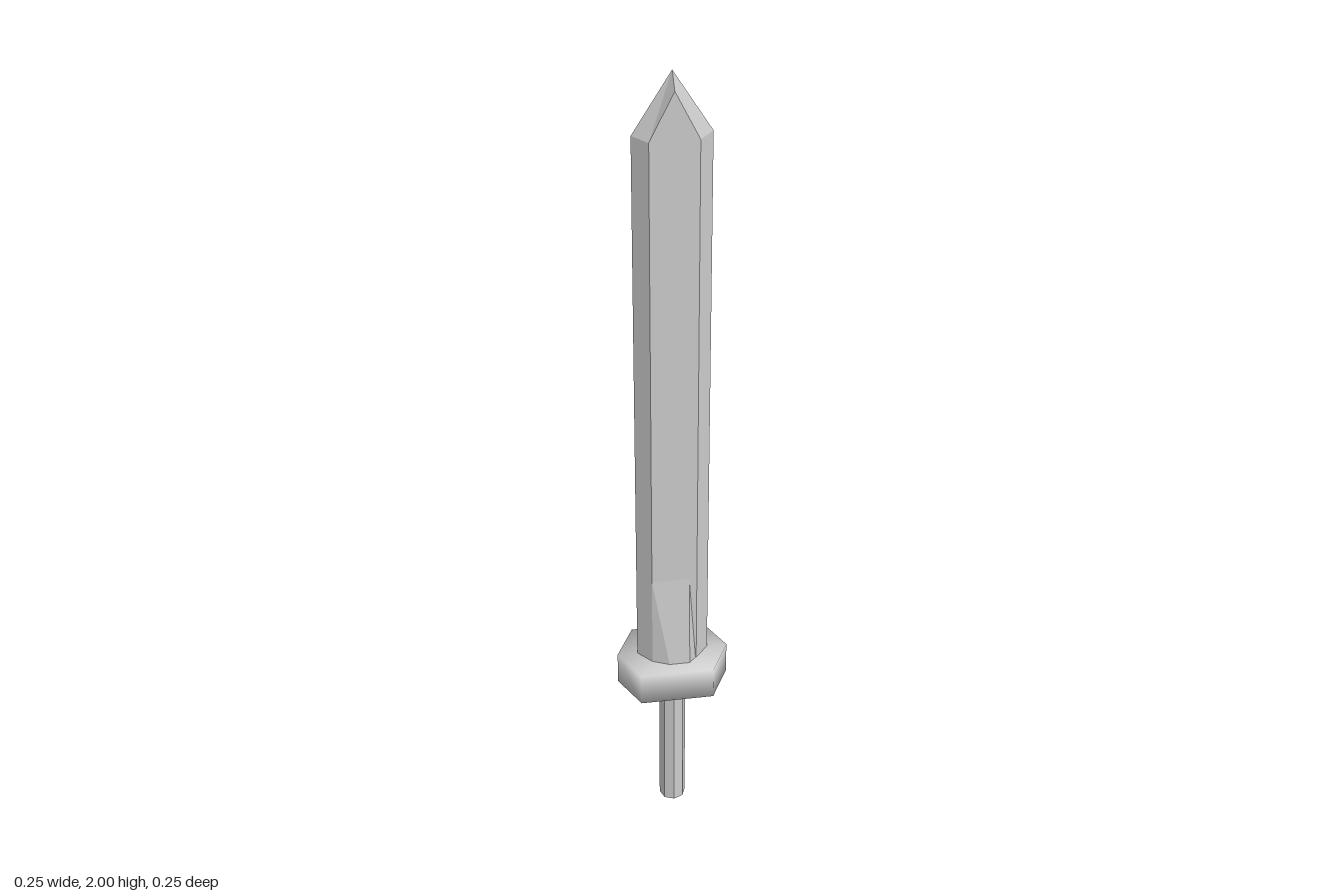
import * as THREE from 'three';
import { mergeVertices } from 'three/addons/utils/BufferGeometryUtils.js';

// Skin between closed rings of [x, y, z] points, listed from bottom to top
function loft(rings) {
  const pos = [];
  for (let r = 0; r < rings.length - 1; r++) {
    const b = rings[r], t = rings[r + 1], n = b.length;
    for (let i = 0; i < n; i++) {
      const j = (i + 1) % n;
      pos.push(...b[i], ...t[i], ...t[j], ...b[i], ...t[j], ...b[j]);
    }
  }
  const g = new THREE.BufferGeometry();
  g.setAttribute('position', new THREE.Float32BufferAttribute(pos, 3));
  g.computeVertexNormals();
  return g;
}

// Half a ring, completed by turning it 180 degrees about the y axis
const turned = half => [...half, ...half.map(([x, y, z]) => [-x, y, -z])];

// Six-sided blade section; bulge is the half thickness mid-face
const bladeRing = (y, bulge) => turned([
  [0.085, y, 0], [0.053, y, 0.036], [0.035, y, bulge], [-0.01, y, bulge], [-0.053, y, 0.036],
]);

export function createModel() {
  const model = new THREE.Group();
  model.name = 'sword';
  const flat = new THREE.MeshStandardMaterial({ color: 0xcccccc, flatShading: true });
  const smooth = new THREE.MeshStandardMaterial({ color: 0xcccccc });
  const add = (name, geometry, material) => {
    const mesh = new THREE.Mesh(geometry, material);
    mesh.name = name;
    model.add(mesh);
    return mesh;
  };

  // Blade: thickened foot, straight body and a pointed roof-like tip
  const ridge = [0, 1.97, 0.036];
  add('blade', loft([
    bladeRing(0.45, 0.055),
    bladeRing(0.72, 0.036),
    bladeRing(1.86, 0.036),
    turned([[0, 2, 0], ridge, ridge, ridge, ridge]),
  ]), flat);

  // Guard: hexagonal slab with softened shading
  const outline = [[0.133, 0], [0.087, 0.087], [-0.087, 0.087], [-0.133, 0], [-0.087, -0.087], [0.087, -0.087]];
  const guardRing = (y, s) => outline.map(([x, z]) => [x * s, y, z * s]);
  let guardGeo = loft([guardRing(0.39, 0), guardRing(0.39, 1), guardRing(0.475, 1), guardRing(0.475, 0)]);
  guardGeo.deleteAttribute('normal');
  guardGeo = mergeVertices(guardGeo);
  guardGeo.computeVertexNormals();
  add('guard', guardGeo, smooth);

  // Grip
  add('grip', new THREE.CylinderGeometry(0.032, 0.032, 0.4, 8), flat).position.y = 0.2;

  // The broad side of the blade faces diagonally
  model.rotation.y = Math.PI / 4;
  return model;
}
